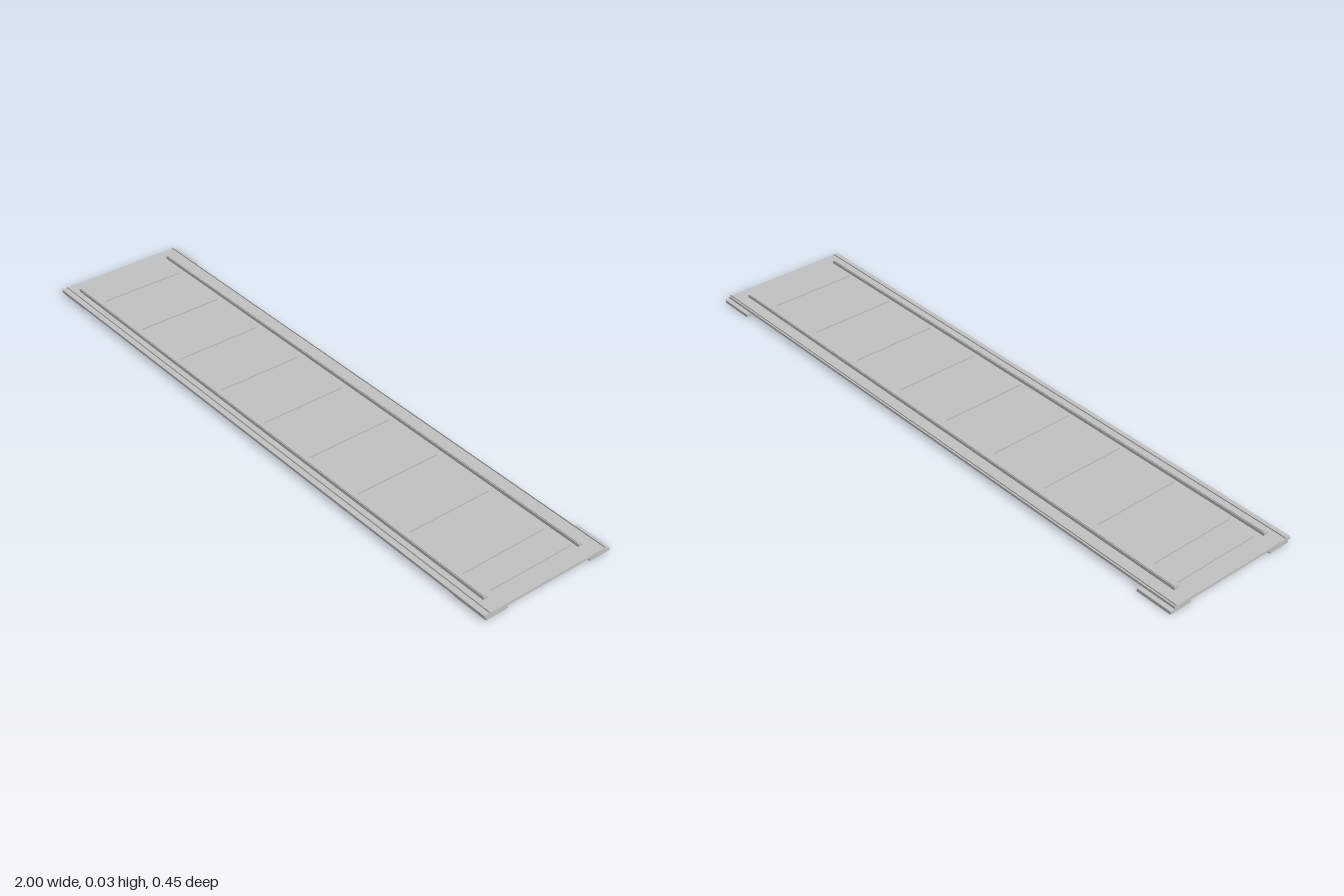
import * as THREE from 'three';

export function createModel() {
  const group = new THREE.Group();
  const grey = new THREE.MeshStandardMaterial({ color: 0xc0c0c0 });
  const sheetGrey = new THREE.MeshStandardMaterial({ color: 0xc0c0c0, side: THREE.DoubleSide });

  // Box given by its limits on each axis
  const box = (name, [x0, x1], [y0, y1], [z0, z1]) => {
    const mesh = new THREE.Mesh(new THREE.BoxGeometry(x1 - x0, y1 - y0, z1 - z0), grey);
    mesh.position.set((x0 + x1) / 2, (y0 + y1) / 2, (z0 + z1) / 2);
    mesh.name = name;
    group.add(mesh);
  };

  // Upright sheet of no thickness, standing on the deck
  const sheet = (name, length, height, x, z, turn, material = sheetGrey) => {
    const mesh = new THREE.Mesh(new THREE.PlaneGeometry(length, height), material);
    mesh.position.set(x, 0.018 + height / 2, z);
    mesh.rotation.y = turn;
    mesh.name = name;
    group.add(mesh);
  };

  // Deck plate
  box('deck', [-1, 1], [0.01, 0.018], [-0.21, 0.226]);

  // Four corner feet
  for (const x of [[-1, -0.88], [0.88, 1]]) {
    box('frontFoot', x, [0, 0.01], [0.146, 0.22]);
    box('backFoot', x, [0, 0.01], [-0.225, -0.152]);
  }

  // Long rails, with a narrower cap along the top
  for (const z of [0.18, -0.159]) {
    box('rail', [-0.955, 0.955], [0.018, 0.028], [z - 0.007, z + 0.007]);
    box('railCap', [-0.95, 0.95], [0.028, 0.03], [z - 0.005, z + 0.005]);
  }

  // Thin cross ribs between the rails
  for (let i = 0; i < 9; i++) {
    sheet('crossRib', 0.29, 0.005, -0.848 + i * 0.212, 0.015, Math.PI / 2);
  }
  // End ribs face outward only
  for (const side of [-1, 1]) {
    sheet('endRib', 0.29, 0.005, side * 0.94, 0.005, side * Math.PI / 2, grey);
  }

  // Thin lips along the front and back edges
  sheet('frontLip', 2, 0.004, 0, 0.208, 0);
  sheet('backLip', 2, 0.004, 0, -0.205, 0);

  return group;
}
